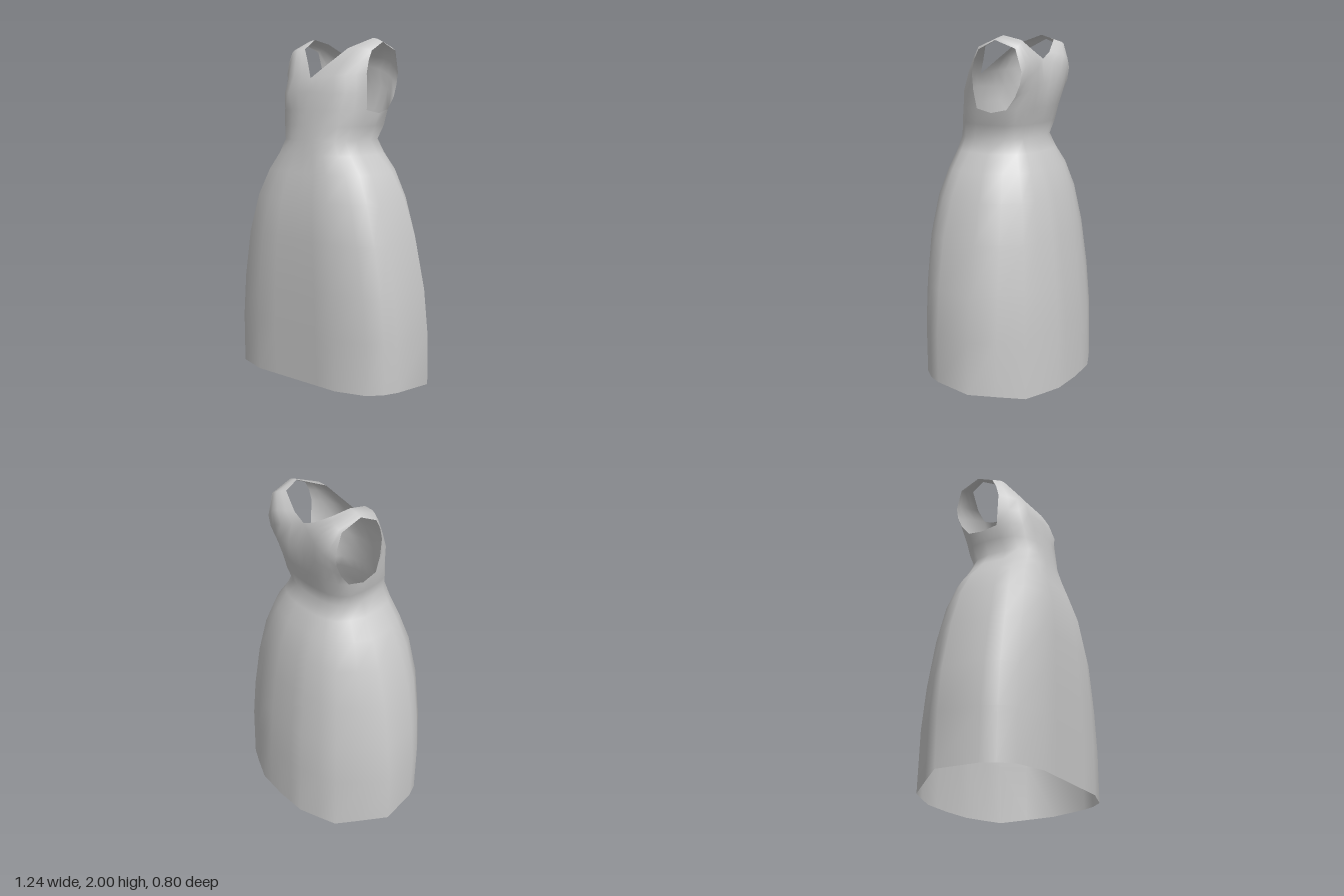
import * as THREE from 'three';
import { mergeVertices } from 'three/addons/utils/BufferGeometryUtils.js';

// Half outlines from centre front, round the left side, to centre back (unit x, unit z)
const SKIRT = [[0, 1], [0.25, 1], [0.47, 1], [0.76, 0.87], [0.87, 0.7], [0.93, 0.53], [1, 0],
  [0.84, -0.36], [0.68, -0.71], [0.5, -0.84], [0.31, -0.97], [0.16, -0.985], [0, -1]];
const BODICE = [[0, 1], [0.2, 0.99], [0.42, 0.95], [0.7, 0.84], [0.88, 0.65], [0.96, 0.35], [1, 0],
  [0.97, -0.5], [0.85, -0.74], [0.65, -0.9], [0.42, -0.96], [0.2, -0.99], [0, -1]];

// Rings: height, half width, front z, side z, back z, blend from skirt to bodice outline
const RINGS = [
  [0.055, 0.62, 0.395, -0.04, -0.4, 0],
  [0.35, 0.615, 0.4, -0.04, -0.39, 0],
  [0.6, 0.588, 0.4, -0.04, -0.37, 0],
  [0.88, 0.532, 0.396, -0.03, -0.337, 0.05],
  [1.1, 0.46, 0.375, -0.02, -0.295, 0.15],
  [1.25, 0.385, 0.338, 0, -0.243, 0.3],
  [1.35, 0.3, 0.318, 0.02, -0.19, 0.55],
  [1.43, 0.255, 0.305, 0.03, -0.15, 0.8],
  [1.51, 0.28, 0.295, 0.02, -0.17, 1],
  [1.6, 0.292, 0.283, 0, -0.19, 1],
];

// Shoulder sections: armhole edge, middle, neckline edge
const SHOULDER = [
  [[0.293, 1.7, 0.113], [0.2, 1.69, 0.24], [0, 1.7, 0.27]],
  [[0.295, 1.8, 0.12], [0.18, 1.79, 0.215], [0, 1.775, 0.25]],
  [[0.295, 1.87, 0.103], [0.205, 1.87, 0.165], [0.08, 1.86, 0.18]],
  [[0.295, 1.925, 0.075], [0.235, 1.94, 0.11], [0.16, 1.94, 0.115]],
  [[0.292, 1.975, -0.03], [0.255, 1.992, -0.035], [0.218, 2, -0.04]],
  [[0.29, 1.93, -0.155], [0.25, 1.955, -0.165], [0.19, 1.975, -0.135]],
  [[0.285, 1.81, -0.19], [0.2, 1.88, -0.212], [0.08, 1.905, -0.165]],
  [[0.283, 1.74, -0.18], [0.17, 1.81, -0.217], [0, 1.87, -0.168]],
  [[0.286, 1.67, -0.15], [0.18, 1.72, -0.21], [0, 1.75, -0.215]],
];
const STEPS = 5;

function halfRing([y, w, front, side, back, blend], r) {
  return SKIRT.map(([sx, sz], j) => {
    const x = THREE.MathUtils.lerp(sx, BODICE[j][0], blend) * w;
    const u = THREE.MathUtils.lerp(sz, BODICE[j][1], blend);
    const z = side + u * (u > 0 ? front - side : side - back);
    let h = y;
    if (r === 0) h = 0.055 * THREE.MathUtils.clamp(1 + z / 0.3, 0, 1); // hem dips at the back
    if (r === RINGS.length - 1 && j === 6) h = 1.58; // underarm
    return [x, h, z];
  });
}

// Adds the quads between neighbouring rows, on both sides of the body
function addRows(out, rows, flip) {
  const mirror = ([x, y, z]) => [-x, y, z];
  for (let i = 0; i < rows.length - 1; i++) {
    for (let j = 0; j < rows[i].length - 1; j++) {
      let q = [rows[i][j], rows[i][j + 1], rows[i + 1][j + 1], rows[i + 1][j]];
      if (flip) q = q.reverse();
      const m = q.map(mirror).reverse();
      for (const [a, b, c, d] of [q, m]) out.push(...a, ...b, ...c, ...a, ...c, ...d);
    }
  }
}

export function createModel() {
  const group = new THREE.Group();
  group.name = 'sleevelessDress';
  const fabric = new THREE.MeshStandardMaterial({ color: 0xc8c8c8, side: THREE.DoubleSide });
  fabric.name = 'greyFabric';

  // Skirt and lower bodice
  const positions = [];
  const rings = RINGS.map(halfRing);
  addRows(positions, rings, false);

  // Chest, shoulder strap and back, swept round the armhole from the top ring
  const top = rings[rings.length - 1];
  const sections = SHOULDER.map(([a, m, b]) => {
    const curve = new THREE.CatmullRomCurve3([a, m, b].map((p) => new THREE.Vector3(...p)));
    return curve.getPoints(STEPS).map((p) => p.toArray());
  });
  addRows(positions, [top.slice(0, 6).reverse(), ...sections, top.slice(7)], true);

  // Weld everything so the cloth shades smoothly
  const raw = new THREE.BufferGeometry();
  raw.setAttribute('position', new THREE.Float32BufferAttribute(positions, 3));
  const geometry = mergeVertices(raw, 1e-4);
  geometry.computeVertexNormals();

  const dress = new THREE.Mesh(geometry, fabric);
  dress.name = 'dress';
  group.add(dress);
  return group;
}
